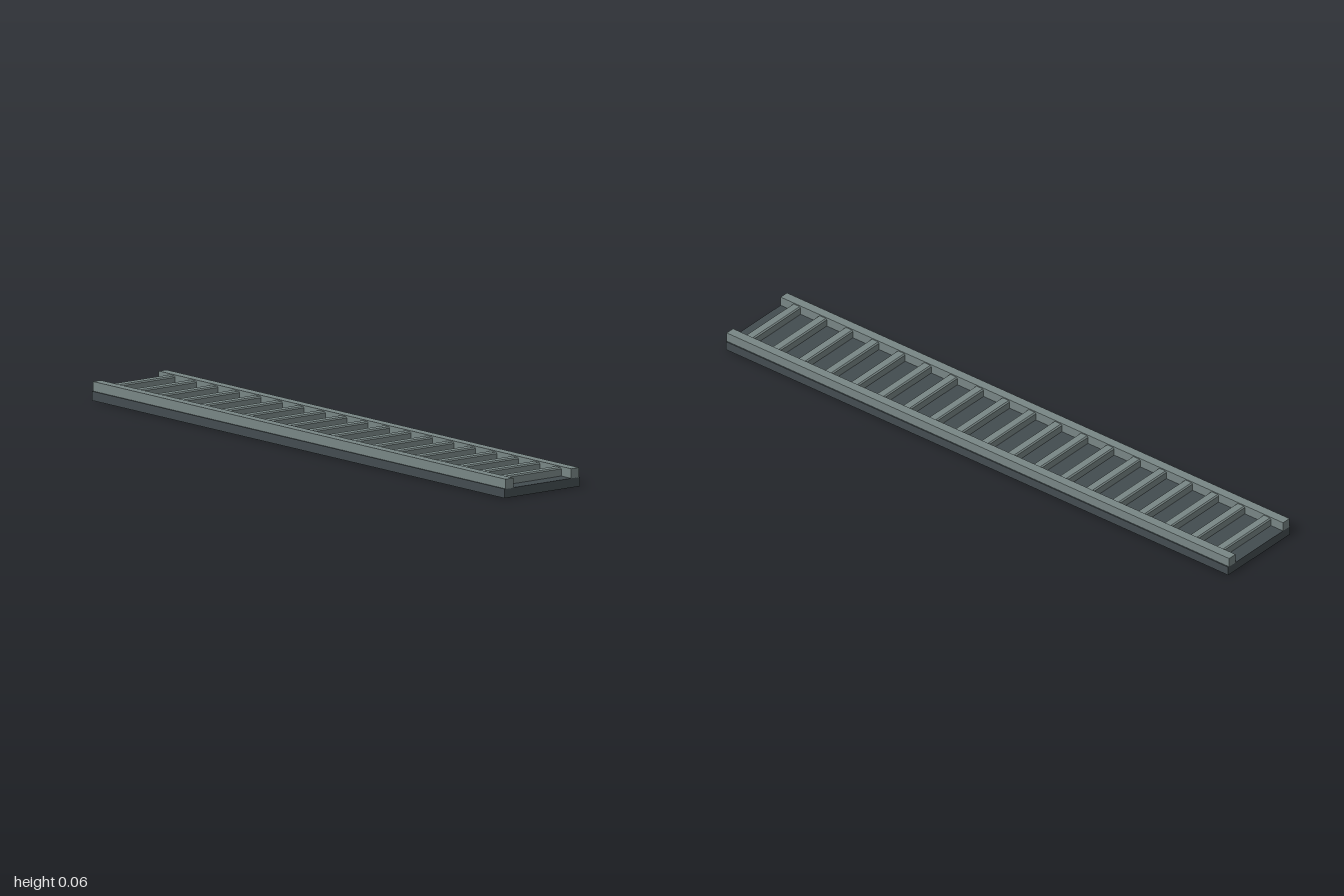
import * as THREE from 'three';

export function createModel() {
  const model = new THREE.Group();
  const darkMetal = new THREE.MeshStandardMaterial({ color: 0x434c50 });
  darkMetal.name = 'darkMetal';
  const greyMetal = new THREE.MeshStandardMaterial({ color: 0x788685 });
  greyMetal.name = 'greyMetal';

  const add = (name, geometry, material, x, y, z) => {
    const mesh = new THREE.Mesh(geometry, material);
    mesh.name = name;
    mesh.position.set(x, y, z);
    model.add(mesh);
  };

  // Flat base tray
  add('base', new THREE.BoxGeometry(0.3, 0.029, 2), darkMetal, 0, 0.0145, 0);

  // Side rails, full length
  const railGeometry = new THREE.BoxGeometry(0.031, 0.031, 2);
  for (const [name, side] of [['leftRail', 1], ['rightRail', -1]]) {
    add(name, railGeometry, greyMetal, side * 0.1305, 0.0435, 0);
  }

  // Cross rungs with small chamfers along the upper edges
  const rungHalf = 0.016, rungHeight = 0.027, chamfer = 0.004, rungLength = 0.234;
  const profile = new THREE.Shape();
  profile.moveTo(-rungHalf, 0);
  profile.lineTo(rungHalf, 0);
  profile.lineTo(rungHalf, rungHeight - chamfer);
  profile.lineTo(rungHalf - chamfer, rungHeight);
  profile.lineTo(-rungHalf + chamfer, rungHeight);
  profile.lineTo(-rungHalf, rungHeight - chamfer);
  profile.closePath();
  const rungGeometry = new THREE.ExtrudeGeometry(profile, { depth: rungLength, bevelEnabled: false });
  rungGeometry.translate(0, 0, -rungLength / 2);
  rungGeometry.rotateY(Math.PI / 2);

  const rungCount = 19, spacing = 0.104;
  for (let i = 0; i < rungCount; i++) {
    add(`rung${i + 1}`, rungGeometry, greyMetal, 0, 0.0285, (i - (rungCount - 1) / 2) * spacing);
  }

  return model;
}
